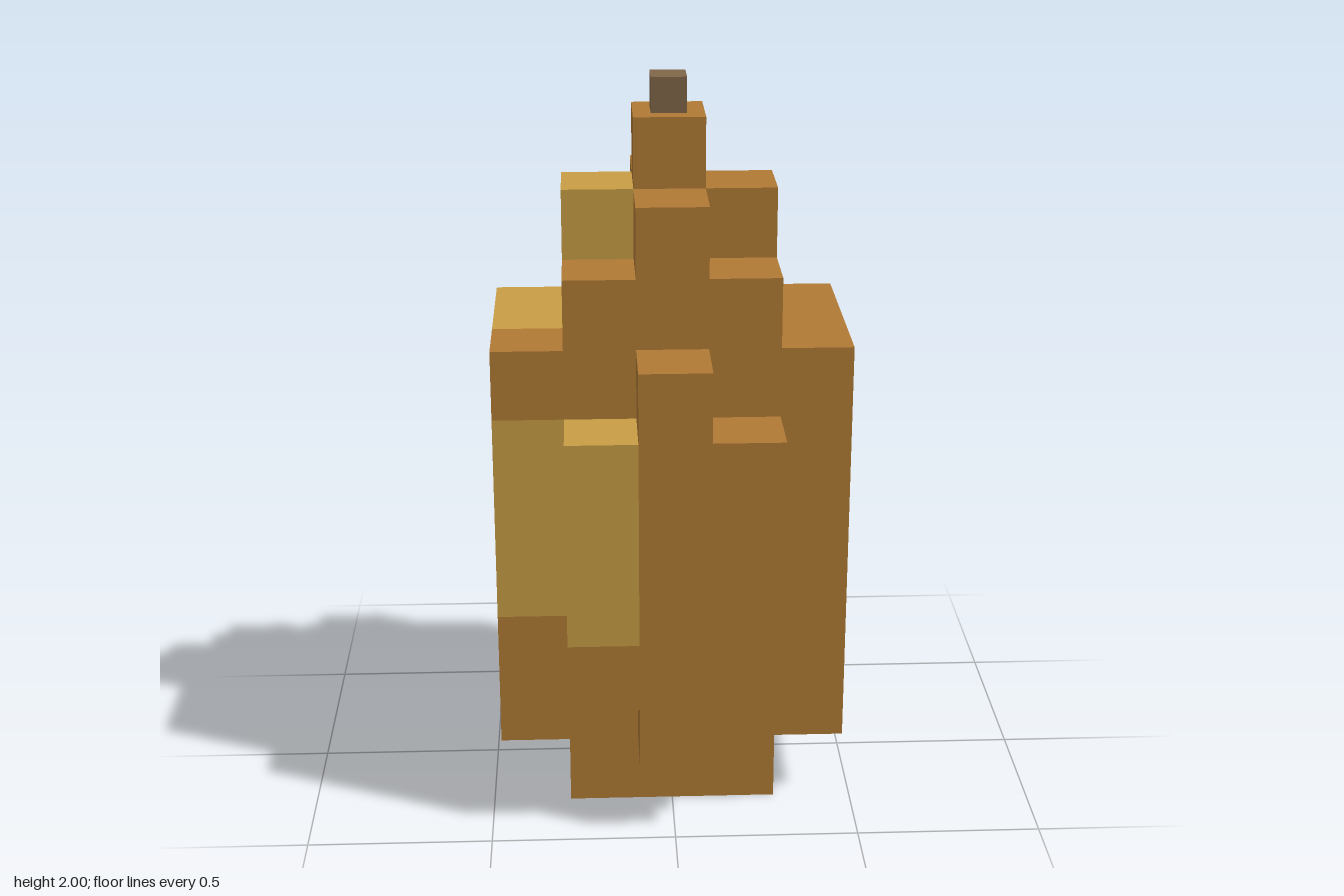
import * as THREE from 'three';
import { mergeGeometries } from 'three/addons/utils/BufferGeometryUtils.js';

const U = 4 / 21; // size of one block

function material(name, color) {
  const m = new THREE.MeshStandardMaterial({ color });
  m.name = name;
  return m;
}

// Box from min and max corners, in blocks
function block(min, max) {
  const size = max.map((v, i) => (v - min[i]) * U);
  const mid = max.map((v, i) => ((v + min[i]) / 2) * U);
  return new THREE.BoxGeometry(...size).translate(...mid);
}

// Planes where the colour patches meet, along x, y and z
const CUTS = [[-0.5], [3, 6], [0.5]];

// Whether a point lies in a pale patch
function isPale([x, y, z]) {
  if (x > -0.5) return y < 6 && z < 0.5;
  return y > 3 && (y < 6 || z < 0.5);
}

// Interval edges between two ends, including the cuts inside
function edges(a, b, cuts) {
  return [a, ...cuts.filter((c) => c > a && c < b), b];
}

export function createModel() {
  const brown = material('brown', 0xb07a34);
  const tan = material('tan', 0xc89d45);
  const stemBrown = material('stem brown', 0x7f6647);
  const model = new THREE.Group();
  model.name = 'blockyPod';

  // One part made of boxes, divided into brown and tan meshes
  function addPart(name, boxes) {
    const brownBoxes = [];
    const tanBoxes = [];
    for (const [min, max] of boxes) {
      const [xs, ys, zs] = CUTS.map((c, i) => edges(min[i], max[i], c));
      for (let i = 1; i < xs.length; i++)
        for (let j = 1; j < ys.length; j++)
          for (let k = 1; k < zs.length; k++) {
            const a = [xs[i - 1], ys[j - 1], zs[k - 1]];
            const b = [xs[i], ys[j], zs[k]];
            const mid = a.map((v, n) => (v + b[n]) / 2);
            (isPale(mid) ? tanBoxes : brownBoxes).push(block(a, b));
          }
    }
    const part = new THREE.Group();
    part.name = name;
    for (const [list, mat] of [[brownBoxes, brown], [tanBoxes, tan]]) {
      if (!list.length) continue;
      const mesh = new THREE.Mesh(mergeGeometries(list), mat);
      mesh.name = `${name} ${mat.name}`;
      part.add(mesh);
    }
    model.add(part);
  }

  // Central body
  addPart('body', [[[-1.5, 0, -1.5], [1.5, 8, 1.5]]]);

  // Slabs on the left and right
  addPart('leftSlab', [[[1.5, 1, -1.5], [2.5, 7, 1.5]]]);
  addPart('rightSlab', [[[-2.5, 1, -1.5], [-1.5, 7, 1.5]]]);

  // Bulges on the front and back: a tall middle with shorter sides
  for (const [name, z] of [['frontBulge', 1.5], ['backBulge', -2.5]]) {
    addPart(name, [
      [[-0.5, 1, z], [0.5, 7, z + 1]],
      [[-1.5, 2, z], [-0.5, 6, z + 1]],
      [[0.5, 2, z], [1.5, 6, z + 1]],
    ]);
  }

  // Cross-shaped crown with a raised middle
  addPart('crown', [
    [[-0.5, 8, -1.5], [0.5, 9, 1.5]],
    [[-1.5, 8, -0.5], [-0.5, 9, 0.5]],
    [[0.5, 8, -0.5], [1.5, 9, 0.5]],
    [[-0.5, 9, -0.5], [0.5, 10, 0.5]],
  ]);

  // Stem
  const stem = new THREE.Mesh(block([-0.25, 10, -0.25], [0.25, 10.5, 0.25]), stemBrown);
  stem.name = 'stem';
  model.add(stem);

  return model;
}
